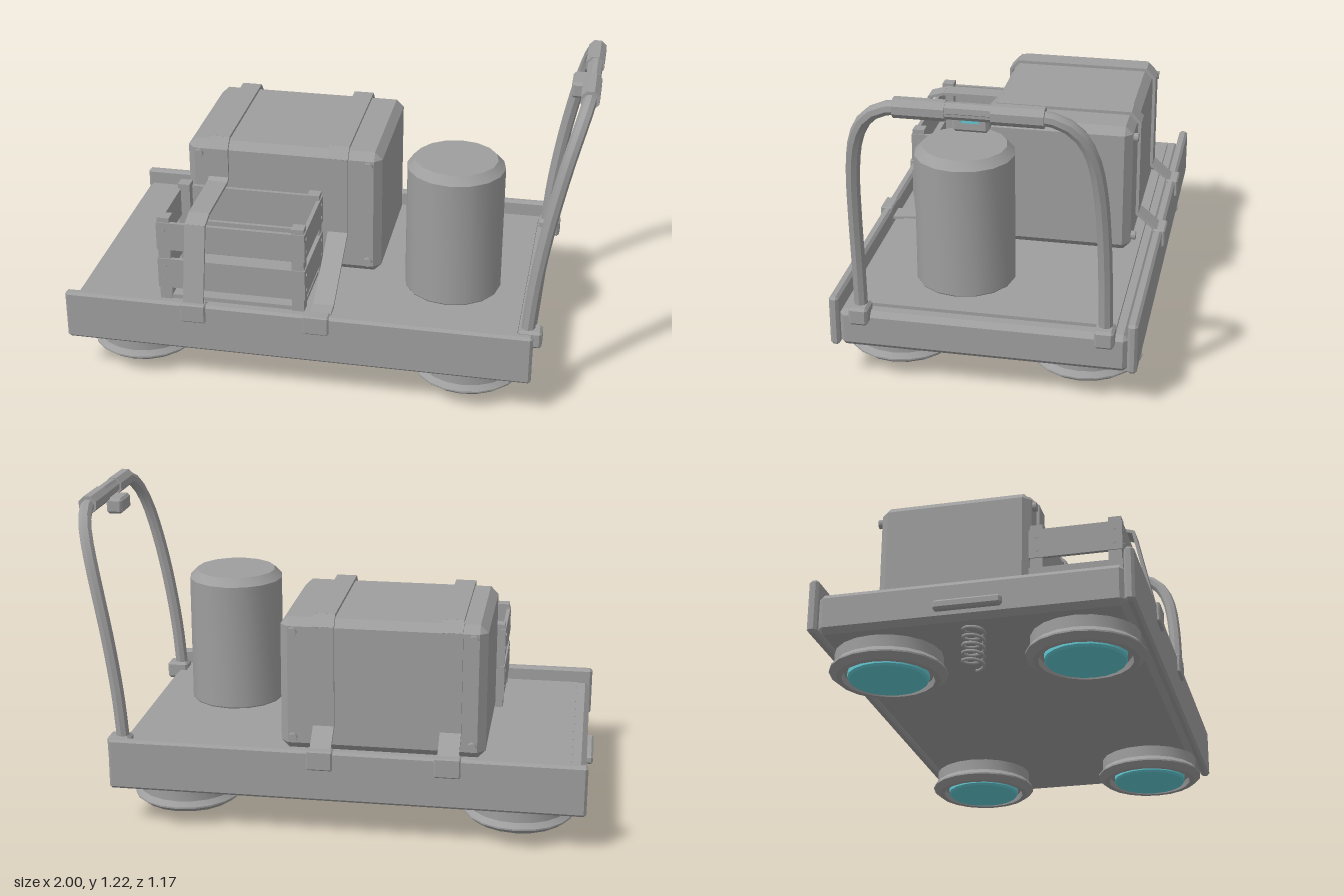
import * as THREE from 'three';
import { toCreasedNormals } from 'three/addons/utils/BufferGeometryUtils.js';
import { ConvexGeometry } from 'three/addons/geometries/ConvexGeometry.js';

const grey = new THREE.MeshStandardMaterial({ color: 0x9e9e9e });
grey.name = 'matte grey';
const cyan = new THREE.MeshStandardMaterial({ color: 0x62c8d2 });
cyan.name = 'glow cyan';

export function createModel() {
  const root = new THREE.Group();
  root.name = 'hoverCart';

  const add = (name, geo, mat = grey, parent = root) => {
    const m = new THREE.Mesh(geo, mat);
    m.name = name;
    parent.add(m);
    return m;
  };
  // Box given by its limits; c is the chamfer
  const box = (name, [x0, x1], [y0, y1], [z0, z1], c = 0, mat = grey, parent = root) => {
    const h = [(x1 - x0) / 2, (y1 - y0) / 2, (z1 - z0) / 2];
    let geo;
    if (c) {
      const pts = [];
      for (const sx of [-1, 1]) for (const sy of [-1, 1]) for (const sz of [-1, 1])
        for (let k = 0; k < 3; k++) {
          const e = h.map((v, i) => (i === k ? v : v - c));
          pts.push(new THREE.Vector3(sx * e[0], sy * e[1], sz * e[2]));
        }
      geo = new ConvexGeometry(pts);
    } else geo = new THREE.BoxGeometry(h[0] * 2, h[1] * 2, h[2] * 2);
    const m = add(name, geo, mat, parent);
    m.position.set((x0 + x1) / 2, (y0 + y1) / 2, (z0 + z1) / 2);
    return m;
  };
  const lathe = (pts, n) => toCreasedNormals(
    new THREE.LatheGeometry(pts.map(p => new THREE.Vector2(...p)), n), 0.5);

  // Platform
  box('platform', [-0.975, 0.82], [0.15, 0.3], [-0.54, 0.54], 0.02);
  box('deckPanel', [-0.92, 0.765], [0.29, 0.313], [-0.49, 0.49]);
  box('rearBumper', [-1, -0.96], [0.185, 0.22], [-0.12, 0.12], 0.008);
  for (const s of [-1, 1]) {
    const z = [s * 0.555 - 0.018, s * 0.555 + 0.018];
    box('sideRail', [-0.983, 0.83], [0.155, 0.355], z, 0.01);
  }

  // Hover pads
  for (const x of [-0.725, 0.57]) for (const z of [-0.355, 0.355]) {
    const pad = new THREE.Group();
    pad.name = 'hoverPad';
    pad.position.set(x, 0, z);
    root.add(pad);
    add('padHousing', lathe([[0, 0.085], [0.16, 0.085], [0.165, 0.062], [0.185, 0.062], [0.21, 0.082],
      [0.21, 0.088], [0.193, 0.107], [0.193, 0.152], [0, 0.152]], 20), grey, pad);
    add('padGlow', lathe([[0, 0.057], [0.138, 0.057], [0.145, 0.065], [0.145, 0.09]], 20), cyan, pad);
  }

  // Hanging spring
  const coil = [];
  for (let i = 0; i <= 60; i++) {
    const a = (i / 60) * Math.PI * 10;
    coil.push(new THREE.Vector3(-0.89 + 0.037 * Math.cos(a), 0.007 + 0.148 * i / 60, 0.037 * Math.sin(a)));
  }
  add('spring', new THREE.TubeGeometry(new THREE.CatmullRomCurve3(coil), 120, 0.006, 5));

  // Push handle: half the hoop as x, y, z, then mirrored
  const half = [[0.8, 0.29, 0.455], [0.818, 0.5, 0.453], [0.85, 0.72, 0.448], [0.885, 0.9, 0.437],
    [0.915, 1.03, 0.415], [0.94, 1.12, 0.375], [0.957, 1.172, 0.315], [0.965, 1.19, 0.24]];
  const hoop = [...half, ...half.slice().reverse().map(([x, y, z]) => [x, y, -z])]
    .map(p => new THREE.Vector3(...p));
  add('handleHoop', toCreasedNormals(
    new THREE.TubeGeometry(new THREE.CatmullRomCurve3(hoop), 44, 0.026, 8), 0.5));
  const sleeve = (name, r, z, len) => {
    const m = add(name, toCreasedNormals(new THREE.CylinderGeometry(r, r, len, 8), 0.5));
    m.rotation.set(Math.PI / 2, Math.PI / 8, 0);
    m.position.set(0.965, 1.19, z);
  };
  sleeve('handleCentre', 0.029, 0, 0.16);
  for (const s of [-1, 1]) {
    sleeve('handleGrip', 0.037, s * 0.169, 0.18);
    box('handleSocket', [0.77, 0.858], [0.262, 0.333], [s * 0.455 - 0.036, s * 0.455 + 0.036], 0.01);
  }
  box('controlBox', [0.888, 0.953], [1.11, 1.172], [-0.063, 0.063], 0.01);
  box('controlLight', [0.95, 0.956], [1.145, 1.162], [-0.03, 0.03], 0, cyan);

  // Barrel
  add('barrel', lathe([[0, 0.31], [0.185, 0.31], [0.19, 0.318], [0.19, 0.825], [0.16, 0.857], [0, 0.857]], 16))
    .position.set(0.475, 0, 0.13);

  // Large case with bolts on its front and back corners
  box('largeCase', [-0.598, 0.182], [0.312, 0.835], [-0.458, 0.125], 0.03);
  for (const x of [-0.548, 0.132]) for (const y of [0.365, 0.785]) for (const z of [-0.464, 0.128]) {
    const bolt = add('caseBolt', new THREE.CylinderGeometry(0.018, 0.018, 0.025, 8));
    bolt.rotation.x = Math.PI / 2;
    bolt.position.set(x, y, z);
  }

  // Open slatted crate
  const crate = new THREE.Group();
  crate.name = 'slattedCrate';
  root.add(crate);
  const X = [-0.63, -0.05], Z = [0.128, 0.475];
  box('crateFloor', [X[0] + 0.01, X[1] - 0.01], [0.313, 0.33], [Z[0] + 0.01, Z[1] - 0.01], 0, grey, crate);
  const nail = (x, y, z, axis) => {
    const m = add('nail', new THREE.CylinderGeometry(0.007, 0.007, 0.006, 6), grey, crate);
    m.rotation[axis] = Math.PI / 2;
    m.position.set(x, y, z);
  };
  for (const [y0, y1] of [[0.365, 0.49], [0.53, 0.645]]) {
    for (const z of [Z[0], Z[1] - 0.015])
      box('longSlat', X, [y0, y1], [z, z + 0.015], 0, grey, crate);
    for (const x of [X[0], X[1] - 0.015])
      box('endSlat', [x, x + 0.015], [y0, y1], Z, 0, grey, crate);
    for (const y of [y0 + 0.03, y1 - 0.03]) {
      for (const x of [X[0] + 0.03, X[1] - 0.03]) nail(x, y, Z[1], 'x');
      for (const x of X) for (const z of [Z[0] + 0.03, Z[1] - 0.03]) nail(x, y, z, 'z');
    }
  }
  for (const x of [X[0] + 0.004, X[1] - 0.052]) for (const z of [Z[0] + 0.004, Z[1] - 0.052])
    box('cornerPost', [x, x + 0.048], [0.313, 0.665], [z, z + 0.048], 0, grey, crate);

  // Tie-down straps: flat bands following z, y points
  const strap = (name, x, path) => {
    const g = new THREE.Group();
    g.name = name;
    root.add(g);
    for (let i = 0; i + 1 < path.length; i++) {
      const [za, ya] = path[i], [zb, yb] = path[i + 1];
      const m = add('strapBand', new THREE.BoxGeometry(0.08, 0.012, Math.hypot(zb - za, yb - ya) + 0.006), grey, g);
      m.position.set(x, (ya + yb) / 2, (za + zb) / 2);
      m.rotation.x = -Math.atan2(yb - ya, zb - za);
    }
    for (const s of [-1, 1])
      box('buckle', [x - 0.049, x + 0.049], [0.283, 0.36], [s * 0.56 - 0.025, s * 0.56 + 0.025], 0.005, grey, g);
  };
  const over = [[-0.56, 0.345], [-0.47, 0.42], [-0.47, 0.81], [-0.435, 0.848], [0.1, 0.848], [0.135, 0.81]];
  strap('crateStrap', -0.468, [...over, [0.135, 0.69], [0.16, 0.677], [0.43, 0.677], [0.495, 0.657], [0.562, 0.35]]);
  strap('caseStrap', 0.012, [...over, [0.135, 0.49], [0.425, 0.32], [0.535, 0.31]]);

  return root;
}
